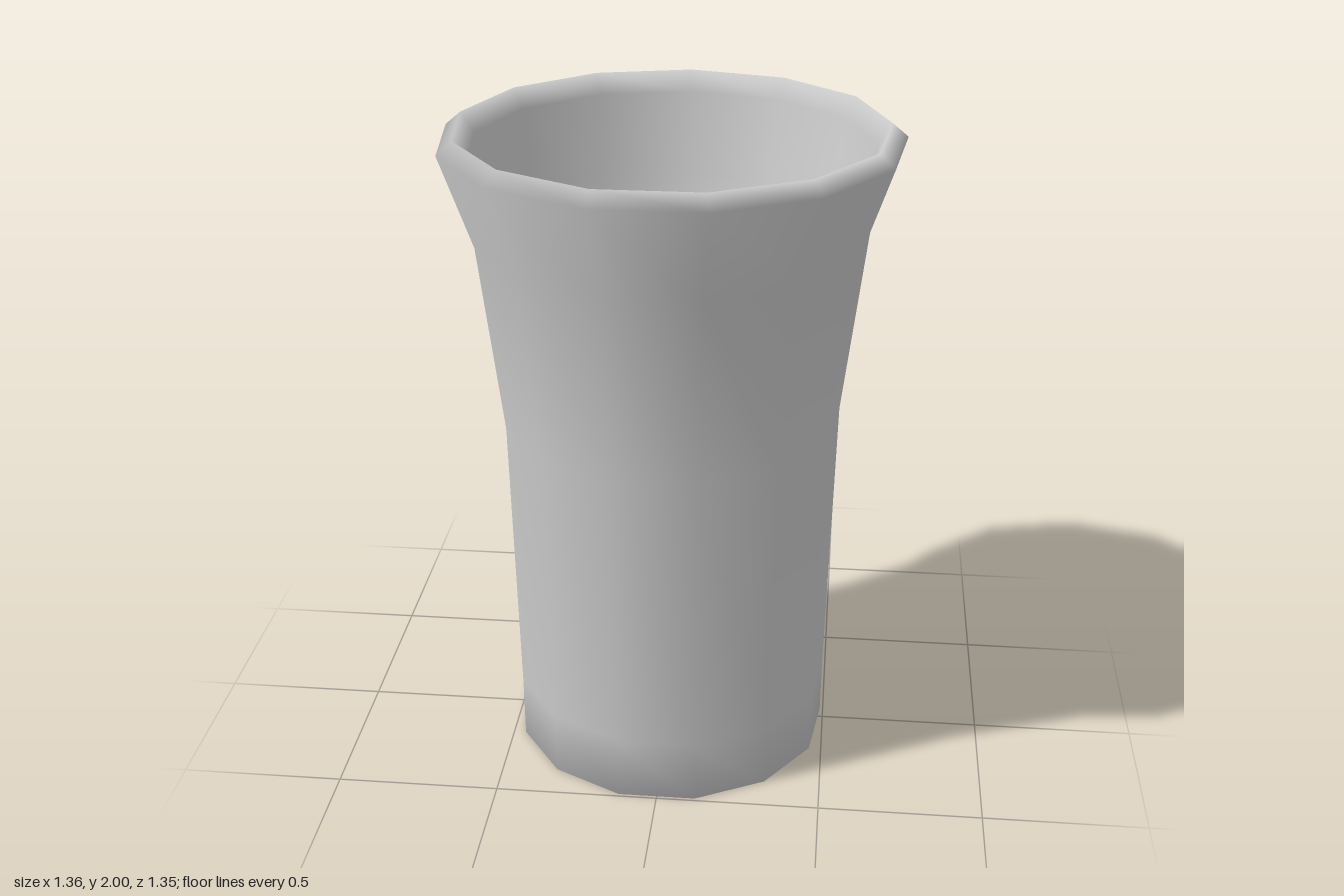
import * as THREE from 'three';

export function createModel() {
  const model = new THREE.Group();
  const material = new THREE.MeshStandardMaterial({ color: 0xcccccc });

  // Closed cup profile [radius, height]
  const profile = [
    // hollowed underside, rising from the foot edge
    [0, 0.13], [0.25, 0.11], [0.43, 0.06],
    // outer wall, flaring to the lip
    [0.494, 0], [0.496, 0.2], [0.517, 1.1], [0.587, 1.68], [0.684, 1.96],
    // lip and short steep inner wall
    [0.637, 2], [0.597, 1.94], [0.578, 1.68],
    // rounded bowl
    [0.48, 1.38], [0.36, 1.08], [0.2, 0.8], [0.08, 0.67], [0, 0.64],
  ].map(([r, y]) => new THREE.Vector2(r, y));

  // Thirteen smooth-shaded sides with one corner at the back
  const cup = new THREE.Mesh(new THREE.LatheGeometry(profile, 13, Math.PI), material);
  cup.name = 'cup';
  cup.position.z = 0.01;
  model.add(cup);

  return model;
}
